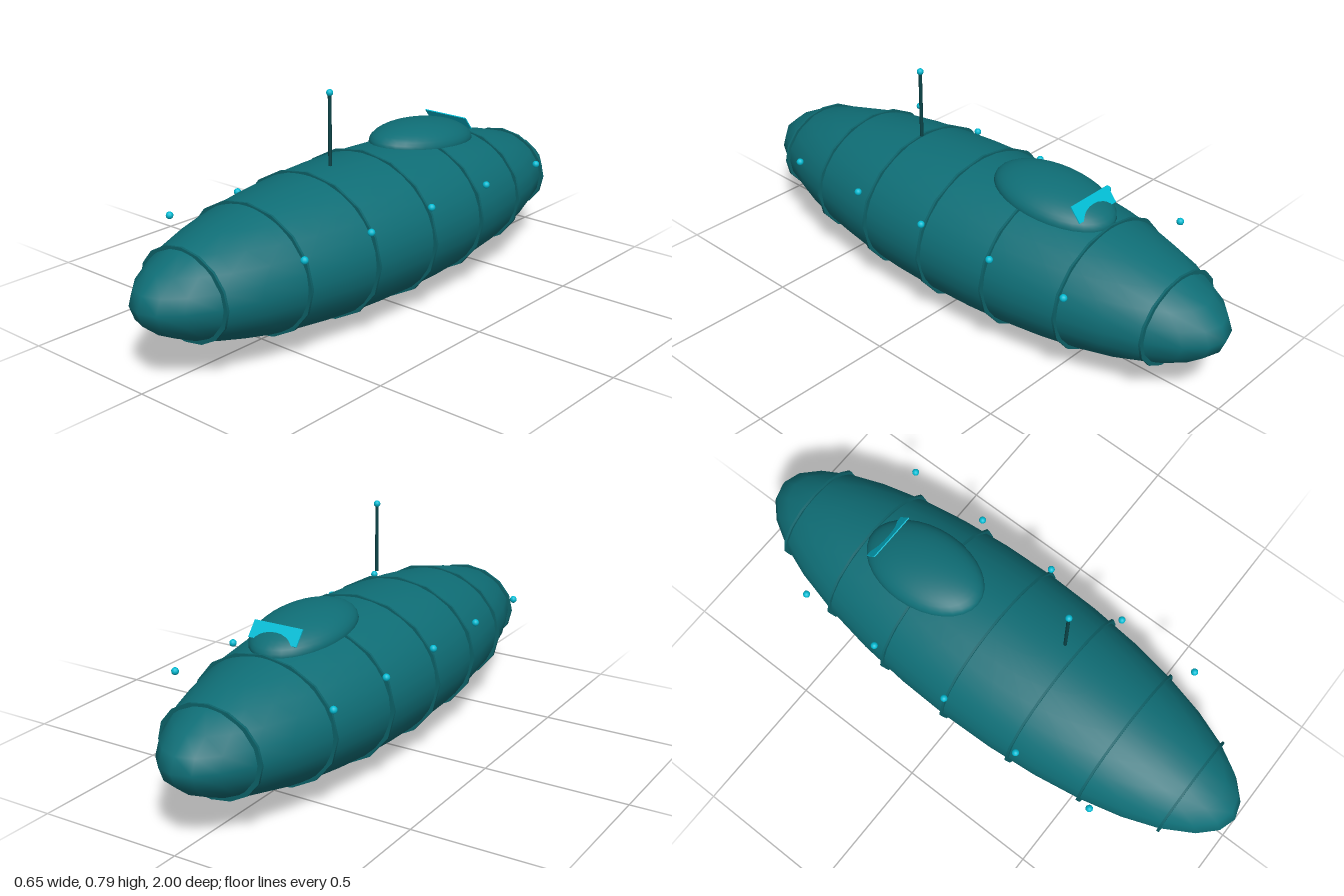
import * as THREE from 'three';

export function createModel() {
  const model = new THREE.Group();
  const mat = (name, color, side = THREE.FrontSide) => {
    const m = new THREE.MeshStandardMaterial({ color, side });
    m.name = name;
    return m;
  };
  const hullTeal = mat('hull teal', 0x0f6e76, THREE.DoubleSide);
  const seamTeal = mat('seam teal', 0x0d646b);
  const rodTeal = mat('dark teal', 0x0a4448);
  const cyan = mat('bright cyan', 0x00bcd4);

  const add = (name, geometry, material, x, y, z) => {
    const mesh = new THREE.Mesh(geometry, material);
    mesh.name = name;
    mesh.position.set(x, y, z);
    model.add(mesh);
    return mesh;
  };

  const RX = 0.31, RY = 0.25, CY = 0.26;

  // Long ellipsoid hull
  add('hull', new THREE.SphereGeometry(1, 32, 16), hullTeal, 0, CY, 0).scale.set(RX, RY, 1);

  // Thin 16-sided bands around the hull
  const bandShape = new THREE.CylinderGeometry(1, 1, 0.008, 16).rotateX(Math.PI / 2);
  for (let i = -3; i <= 3; i++) {
    const z = i * 0.273;
    const k = Math.sqrt(1 - z * z);
    add('hullBand', bandShape, seamTeal, 0, CY, z)
      .scale.set(RX * k + 0.014, RY * k + 0.009, 1);
  }

  // Half-dome canopy, leaning down towards the stern
  const dome = new THREE.SphereGeometry(1, 32, 10, 0, Math.PI * 2, 0, Math.PI / 2);
  const canopy = add('canopy', dome, hullTeal, 0, 0.489, -0.315);
  canopy.scale.set(0.146, 0.072, 0.23);
  canopy.rotation.x = -0.09;

  // Slanted plate at the rear of the canopy
  const plate = add('canopyPlate', new THREE.BoxGeometry(0.18, 0.06, 0.004), cyan, 0, 0.525, -0.474);
  plate.rotation.x = 0.68;

  // Row of lights along each side
  const lamp = new THREE.SphereGeometry(0.0125, 12, 8);
  for (const side of [-1, 1]) {
    for (let i = -2; i <= 2; i++) {
      add('sideLight', lamp, cyan, side * 0.296, 0.383, i * 0.303);
    }
  }

  // Antenna with a ball tip
  add('antennaRod', new THREE.CylinderGeometry(0.006, 0.006, 0.24, 8), rodTeal, 0.06, 0.653, 0.23);
  add('antennaTip', new THREE.SphereGeometry(0.0115, 12, 8), cyan, 0.06, 0.775, 0.23);

  return model;
}
